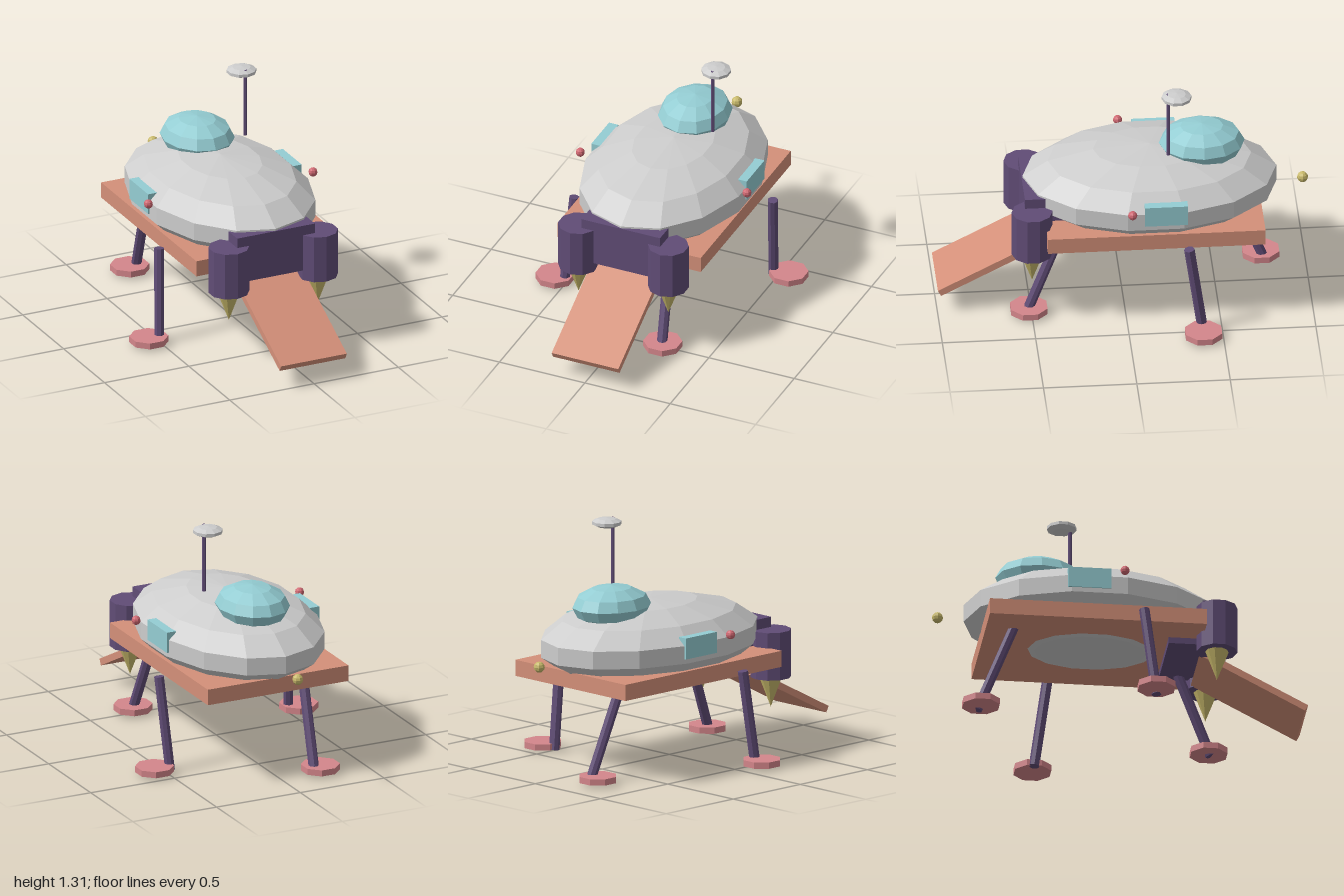
import * as THREE from 'three';

const material = (name, color) => {
  const m = new THREE.MeshStandardMaterial({ color });
  m.name = name;
  return m;
};

export function createModel() {
  const hullGrey = material('hull grey', 0xcdcdcd);
  const glassTeal = material('glass teal', 0x94cdd3);
  const deckClay = material('deck clay', 0xd49079);
  const darkPurple = material('dark purple', 0x604c76);
  const padPink = material('pad pink', 0xd4868b);
  const beaconRed = material('beacon red', 0xd06872);
  const brass = material('brass', 0xc9ba6c);

  const model = new THREE.Group();
  model.name = 'landerCraft';

  // Adds a faceted mesh at a position
  function add(name, geometry, mat, x, y, z) {
    const flat = geometry.index ? geometry.toNonIndexed() : geometry;
    flat.computeVertexNormals();
    const mesh = new THREE.Mesh(flat, mat);
    mesh.name = name;
    mesh.position.set(x, y, z);
    model.add(mesh);
    return mesh;
  }
  const box = (w, h, d) => new THREE.BoxGeometry(w, h, d);
  const ellipsoid = (rx, ry, rz, sides, rows) =>
    new THREE.SphereGeometry(1, sides, rows).rotateY(Math.PI / 2).scale(rx, ry, rz);

  // Round strut between two points
  function strut(name, from, to, radius, sides) {
    const a = new THREE.Vector3(...from), b = new THREE.Vector3(...to);
    const dir = b.clone().sub(a);
    const mid = a.clone().add(b).multiplyScalar(0.5);
    const mesh = add(name, new THREE.CylinderGeometry(radius, radius, dir.length(), sides),
      darkPurple, mid.x, mid.y, mid.z);
    mesh.quaternion.setFromUnitVectors(new THREE.Vector3(0, 1, 0), dir.normalize());
  }

  // Hull, cockpit dome and deck
  add('hull', ellipsoid(0.472, 0.218, 0.697, 14, 7), hullGrey, 0, 0.662, -0.15);
  add('cockpitDome', ellipsoid(0.193, 0.112, 0.23, 12, 6), glassTeal, 0, 0.88, -0.43);
  add('deck', box(0.84, 0.088, 1.165), deckClay, 0, 0.518, -0.155);

  // Front bay and boarding ramp
  add('engineBay', box(0.46, 0.26, 0.29), darkPurple, 0, 0.57, 0.39);
  add('ramp', box(0.39, 0.037, 0.64), deckClay, 0, 0.263, 0.706).rotation.x = 0.48;

  // Paired engines, nozzles, windows and side beacons
  for (const [side, s] of [['left', 1], ['right', -1]]) {
    add(side + 'Engine', new THREE.CylinderGeometry(0.11, 0.11, 0.26, 10), darkPurple,
      s * 0.263, 0.515, 0.5);
    add(side + 'Nozzle', new THREE.ConeGeometry(0.063, 0.165, 10).rotateX(Math.PI), brass,
      s * 0.263, 0.3025, 0.5);
    add(side + 'Window', box(0.055, 0.115, 0.23), glassTeal, s * 0.4275, 0.697, -0.205);
    add(side + 'Beacon', ellipsoid(0.025, 0.025, 0.025, 8, 6), beaconRed, s * 0.488, 0.733, -0.02);
  }
  add('tailBeacon', ellipsoid(0.03, 0.03, 0.03, 8, 6), brass, 0, 0.628, -0.97);

  // Splayed legs: upper end, lower end, pad centre (x, z)
  const legs = [
    ['frontLeft', [0.195, 0.515, 0.32], [0.235, 0.005, 0.525], [0.237, 0.515]],
    ['frontRight', [-0.475, 0.515, 0.085], [-0.505, 0.005, 0.148], [-0.563, 0.14]],
    ['backLeft', [0.503, 0.515, -0.322], [0.474, 0.005, -0.395], [0.565, -0.393]],
    ['backRight', [-0.225, 0.515, -0.575], [-0.195, 0.005, -0.78], [-0.238, -0.765]],
  ];
  for (const [name, top, foot, pad] of legs) {
    strut(name + 'Leg', top, foot, 0.028, 8);
    add(name + 'Pad', new THREE.CylinderGeometry(0.105, 0.105, 0.034, 8).rotateY(Math.PI / 8),
      padPink, pad[0], 0.025, pad[1]);
  }

  // Antenna mast and dish
  strut('antennaMast', [0.19, 0.92, -0.235], [0.19, 1.3, -0.235], 0.01, 6);
  add('antennaDish', ellipsoid(0.084, 0.027, 0.084, 10, 5), hullGrey, 0.19, 1.278, -0.28);

  return model;
}
